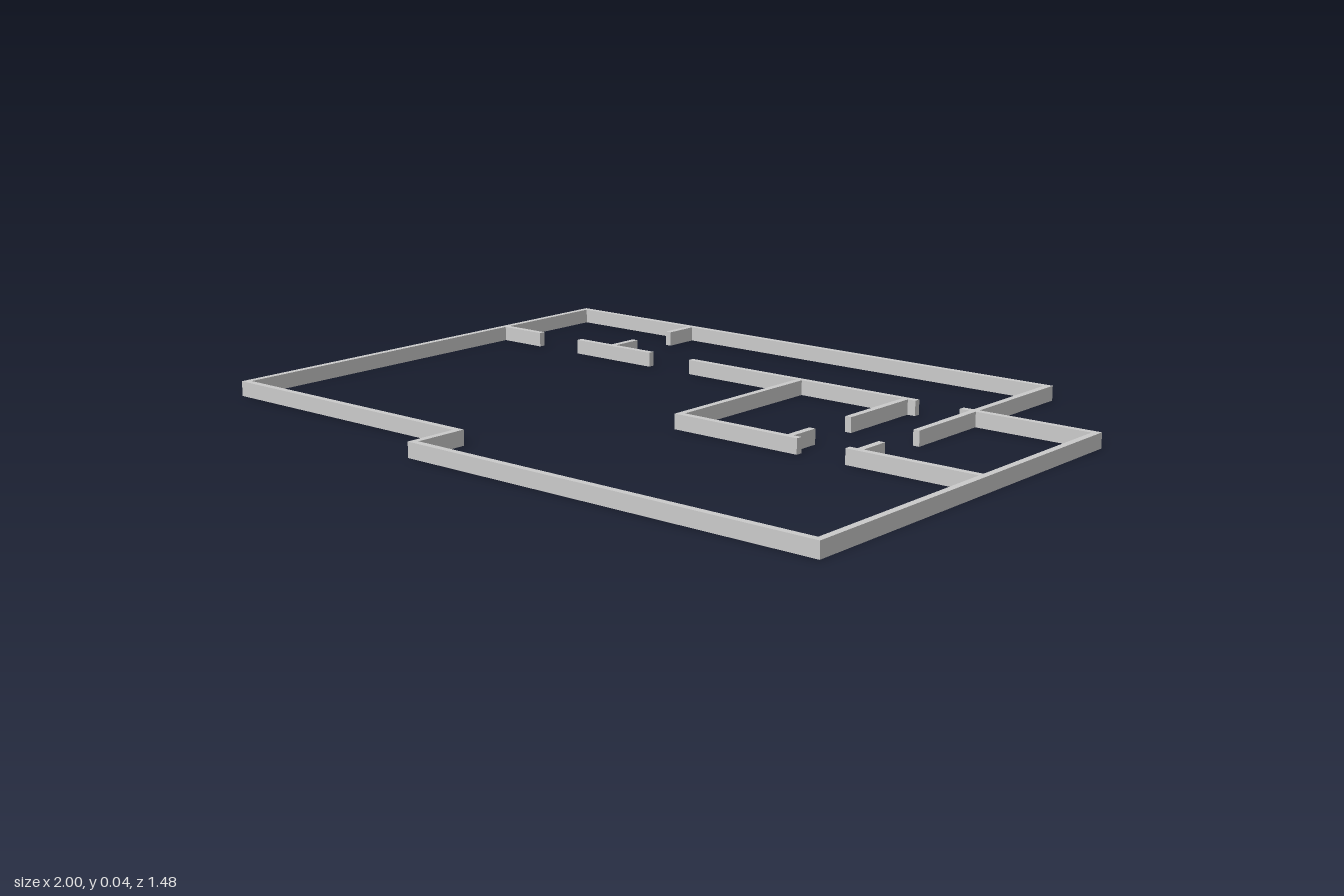
import * as THREE from 'three';

const H = 0.04;   // wall height
const T = 0.018;  // wall thickness
const h = T / 2;

export function createModel() {
  const model = new THREE.Group();
  model.name = 'floorPlanWalls';
  const material = new THREE.MeshStandardMaterial({ color: 0xcccccc, flatShading: true });

  // Outer wall: stepped outline with an inset outline as its hole
  const outline = (i) => [
    [-1 + i, -0.742 + i], [0.657 - i, -0.742 + i], [0.657 - i, -0.387 + i], [0.997 - i, -0.387 + i],
    [0.997 - i, 0.74 - i], [-0.198 + i, 0.74 - i], [-0.198 + i, 0.594 - i], [-1 + i, 0.594 - i],
  ].map(([x, z]) => new THREE.Vector2(x, z));
  const ring = new THREE.Shape(outline(0));
  ring.holes.push(new THREE.Path(outline(T)));
  const ringGeo = new THREE.ExtrudeGeometry(ring, { depth: H, bevelEnabled: false });
  ringGeo.rotateX(Math.PI / 2).translate(0, H, 0);
  const outer = new THREE.Mesh(ringGeo, material);
  outer.name = 'outerWall';
  model.add(outer);

  // Straight partition between two plan corners
  const wall = (name, x0, x1, z0, z1) => {
    const mesh = new THREE.Mesh(new THREE.BoxGeometry(x1 - x0, H, z1 - z0), material);
    mesh.position.set((x0 + x1) / 2, H / 2, (z0 + z1) / 2);
    mesh.name = name;
    model.add(mesh);
  };
  const alongX = (name, z, x0, x1) => wall(name, x0, x1, z - h, z + h);
  const alongZ = (name, x, z0, z1) => wall(name, x - h, x + h, z0, z1);

  const back = -0.378, front = 0.119; // the two partition lines across the plan

  // Long rear partition, broken by doorways
  alongX('rearPartitionRight', back, -1 + T, -0.84);
  alongX('rearPartitionMiddle', back, -0.69, -0.415);
  alongX('rearPartitionLong', back, -0.27, 0.478);
  alongX('rearPartitionStub', back, 0.61, 0.657 - T);

  // Divider between the two rear rooms, with a doorway
  alongZ('rearDividerBack', -0.564, -0.742 + T, -0.625);
  alongZ('rearDividerFront', -0.564, -0.478, back - h);

  // Small inner room
  alongZ('innerRoomSide', 0.11, back + h, front - h);
  alongX('innerRoomFront', front, 0.11 - h, 0.478);
  alongZ('innerRoomDoorWall', 0.446, back + h, -0.123);
  alongZ('innerRoomDoorStub', 0.446, 0.024, front - h);

  // Side room against the outer wall
  alongZ('sideRoomDoorWall', 0.648, back + h, -0.12);
  alongZ('sideRoomDoorStub', 0.648, 0.024, front - h);
  alongX('sideRoomFront', front, 0.618, 0.997 - T);

  return model;
}
